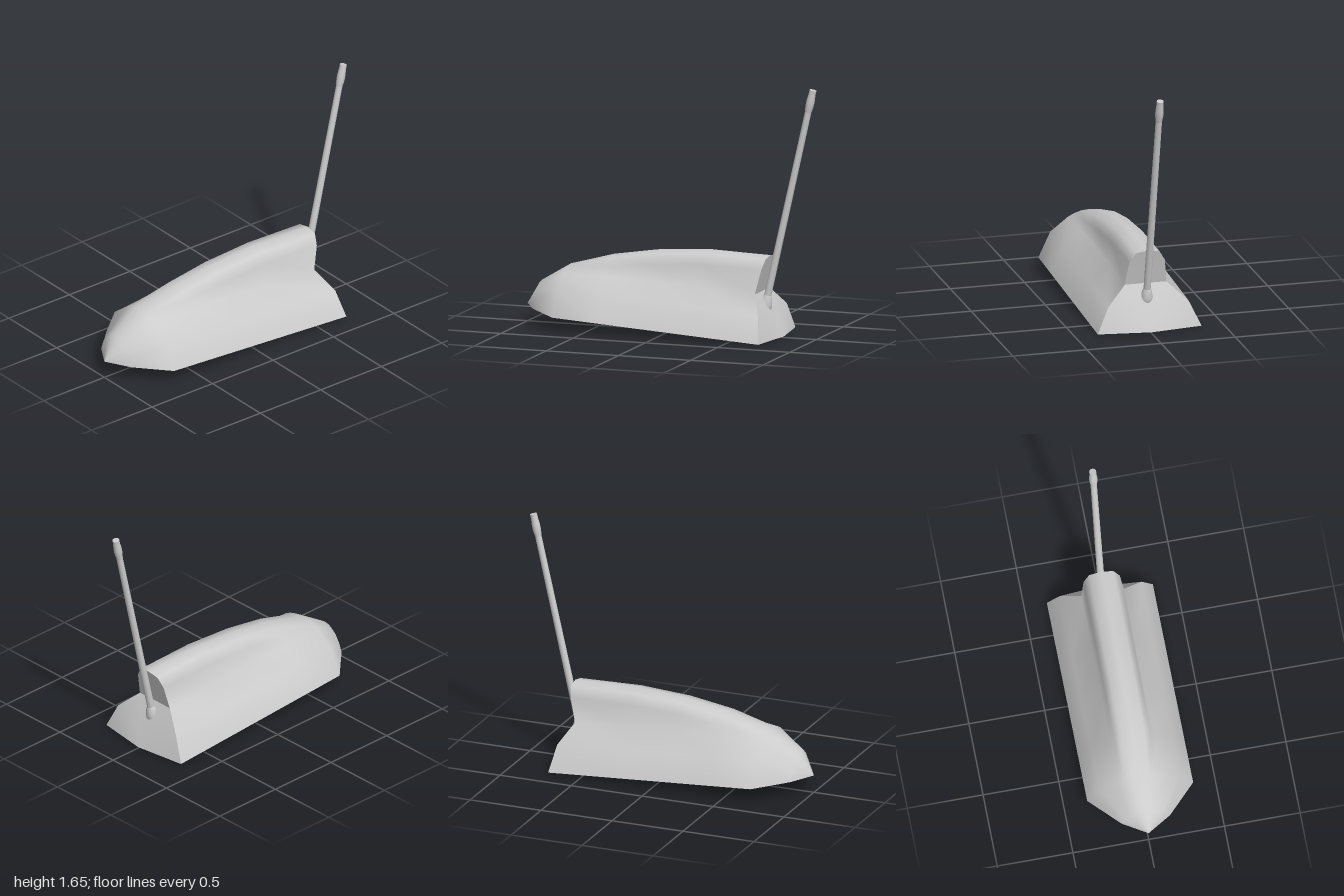
import * as THREE from 'three';

const grey = new THREE.MeshStandardMaterial({ color: 0xcccccc, side: THREE.DoubleSide });
grey.name = 'light grey';

// Half sections from rim to crest, as [x, y, z]
const at = (z, pts) => pts.map(([x, y]) => [x, y, z]);
const rear = [[0.35, 0.01, -0.725], [0.27, 0.18, -0.695], [0.14, 0.3, -0.625],
  [0.12, 0.46, -0.662], [0.08, 0.525, -0.678], [0, 0.54, -0.682]];
const sections = [
  at(1, Array(6).fill([0, 0.12])),
  at(0.9, [[0.16, 0.113], [0.14, 0.17], [0.105, 0.225], [0.07, 0.255], [0.04, 0.273], [0, 0.28]]),
  at(0.7, [[0.35, 0.1], [0.27, 0.268], [0.15, 0.36], [0.11, 0.38], [0.06, 0.395], [0, 0.4]]),
  at(0.4, [[0.35, 0.081], [0.27, 0.25], [0.15, 0.36], [0.12, 0.42], [0.08, 0.468], [0, 0.482]]),
  at(0.1, [[0.35, 0.062], [0.27, 0.232], [0.14, 0.345], [0.12, 0.45], [0.08, 0.515], [0, 0.53]]),
  at(-0.25, [[0.35, 0.04], [0.27, 0.21], [0.14, 0.325], [0.12, 0.47], [0.08, 0.537], [0, 0.555]]),
  rear,
];

// Mirror a half section into a full one running from +x to -x
const full = (half) => [...half, ...half.slice(0, -1).reverse().map(([x, y, z]) => [-x, y, z])];

function geometryFrom(points, index) {
  const g = new THREE.BufferGeometry();
  g.setAttribute('position', new THREE.Float32BufferAttribute(points.flat(), 3));
  g.setIndex(index);
  g.computeVertexNormals();
  return g;
}

// Skin stretched over the sections
function shellGeometry() {
  const rings = sections.map(full), n = rings[0].length, index = [];
  for (let i = 0; i < rings.length - 1; i++) {
    for (let j = 0; j < n - 1; j++) {
      const a = i * n + j, b = a + n;
      if (i > 0) index.push(a, b, a + 1);
      index.push(a + 1, b, b + 1);
    }
  }
  return geometryFrom(rings.flat(), index);
}

// Fan around a centre point, closing a rear opening
function fanGeometry(centre, rim) {
  const index = [];
  for (let i = 1; i < rim.length; i++) index.push(0, i + 1, i);
  return geometryFrom([centre, ...rim], index);
}

function add(parent, name, geometry) {
  const mesh = new THREE.Mesh(geometry, grey);
  mesh.name = name;
  parent.add(mesh);
  return mesh;
}

const lathe = (profile, sides) =>
  new THREE.LatheGeometry(profile.map(([r, y]) => new THREE.Vector2(r, y)), sides);

export function createModel() {
  const model = new THREE.Group();
  model.name = 'finAntenna';

  // Hollow fin housing and its rear faces
  add(model, 'housingShell', shellGeometry());
  add(model, 'finRearFace', fanGeometry([0, 0.3, -0.622], full(rear.slice(2))));
  const low = rear.slice(0, 3);
  const mirrored = low.map(([x, y, z]) => [-x, y, z]).reverse();
  add(model, 'rearSlope', fanGeometry([0, 0.01, -0.775], [...low, [0, 0.3, -0.622], ...mirrored]));

  // Leaning rod with a swollen foot and tip
  const foot = new THREE.Vector3(0, 0.14, -0.632);
  const tip = new THREE.Vector3(0, 1.645, -0.976);
  const length = foot.distanceTo(tip);
  const rod = new THREE.Group();
  rod.name = 'rodAssembly';
  rod.position.copy(foot);
  rod.rotation.x = -Math.atan2(foot.z - tip.z, tip.y - foot.y);
  model.add(rod);
  add(rod, 'rodFoot', lathe([[0, 0], [0.028, 0.012], [0.042, 0.045], [0.042, 0.08], [0.032, 0.12], [0.024, 0.14]], 16));
  add(rod, 'rod', new THREE.CylinderGeometry(0.021, 0.024, length - 0.15, 16, 1, true).translate(0, length / 2, 0));
  add(rod, 'rodTip', lathe([[0.02, length - 0.16], [0.027, length - 0.11], [0.027, length - 0.07],
    [0.023, length - 0.03], [0.023, length], [0.023, length], [0, length]], 16));

  // Mounting plug under the tail
  const plug = add(model, 'mountingPlug', lathe([[0, 0.01], [0.1, 0], [0.115, 0.015], [0.115, 0.03],
    [0.09, 0.036], [0.09, 0.036], [0.09, 0.085], [0.09, 0.085], [0.065, 0.095], [0.065, 0.16], [0, 0.16]], 20));
  plug.position.set(0, 0.006, -0.61);
  plug.rotation.x = -0.03;

  return model;
}
